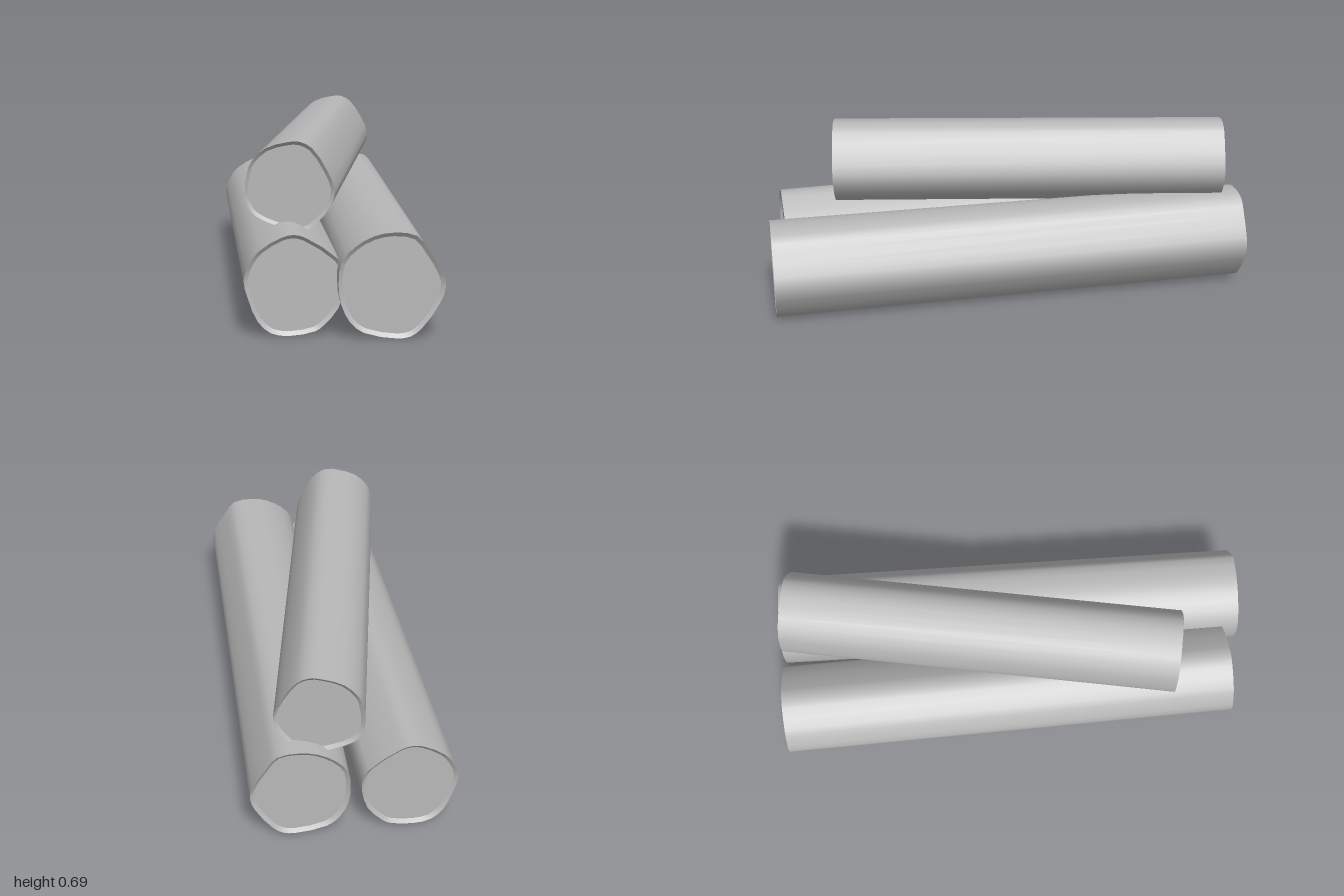
import * as THREE from 'three';

const wood = new THREE.MeshStandardMaterial({ color: 0xb8b8b8 });
wood.name = 'grey wood';

// Smooth closed band between two rings of equal length
function band(name, a, b) {
  const n = a.length;
  const index = [];
  for (let i = 0; i < n; i++) {
    const j = (i + 1) % n;
    index.push(i, j, n + i, n + i, j, n + j);
  }
  const geo = new THREE.BufferGeometry().setFromPoints([...a, ...b]);
  geo.setIndex(index);
  geo.computeVertexNormals();
  const mesh = new THREE.Mesh(geo, wood);
  mesh.name = name;
  return mesh;
}

// A log: rounded outline (clockwise from the front) swept from the front centre to the back centre,
// with slightly recessed end faces. slope tilts the ends square to the log's axis.
function log({ name, outline, front, back, slope, taper }) {
  const [fx, fy, fz] = front;
  const curve = new THREE.CatmullRomCurve3(
    outline.map(([x, y]) => new THREE.Vector3(x - fx, y - fy, 0)), true);
  const section = curve.getPoints(outline.length * 2).slice(0, -1);
  const ring = ([cx, cy, cz], scale, dz) => section.map(p => new THREE.Vector3(
    cx + p.x * scale, cy + p.y * scale, cz + p.x * scale * slope + dz));

  const inset = 0.92, recess = 0.012;
  const rings = [
    ring([fx, fy, fz], 0, -recess),
    ring([fx, fy, fz], inset, -recess),
    ring([fx, fy, fz], 1, 0),
    ring(back, taper, 0),
    ring(back, taper * inset, recess),
    ring(back, 0, recess),
  ];
  const parts = ['frontEnd', 'frontRim', 'bark', 'backRim', 'backEnd'];
  const group = new THREE.Group();
  group.name = name;
  parts.forEach((part, i) => group.add(band(part, rings[i], rings[i + 1])));
  return group;
}

const logs = [
  {
    name: 'lowerRightLog',
    outline: [[-0.40, 0.217], [-0.375, 0.284], [-0.34, 0.327], [-0.26, 0.374], [-0.216, 0.383],
      [-0.173, 0.372], [-0.05, 0.288], [-0.028, 0.245], [-0.026, 0.19], [-0.05, 0.103],
      [-0.104, 0.039], [-0.136, 0.017], [-0.23, 0.002], [-0.30, 0.013], [-0.35, 0.06], [-0.384, 0.146]],
    front: [-0.21, 0.195, 0.915], back: [-0.21, 0.195, -1], slope: 0, taper: 1,
  },
  {
    name: 'lowerLeftLog',
    outline: [[-0.057, 0.206], [-0.048, 0.288], [0, 0.346], [0.072, 0.387], [0.147, 0.40],
      [0.229, 0.387], [0.274, 0.331], [0.326, 0.245], [0.337, 0.196], [0.317, 0.135],
      [0.25, 0.039], [0.21, 0.009], [0.16, 0.002], [0.035, 0.026], [-0.014, 0.065], [-0.048, 0.135]],
    front: [0.14, 0.2, 0.99], back: [0.209, 0.202, -0.993], slope: 0.036, taper: 0.97,
  },
  {
    name: 'upperLog',
    outline: [[-0.38, 0.486], [-0.371, 0.572], [-0.354, 0.615], [-0.302, 0.665], [-0.223, 0.69],
      [-0.173, 0.693], [-0.126, 0.669], [-0.072, 0.589], [-0.04, 0.508], [-0.057, 0.447],
      [-0.104, 0.385], [-0.143, 0.353], [-0.19, 0.349], [-0.272, 0.372], [-0.34, 0.404], [-0.37, 0.443]],
    front: [-0.21, 0.52, 0.674], back: [0.13, 0.518, -0.941], slope: 0.2, taper: 0.985,
  },
];

export function createModel() {
  const model = new THREE.Group();
  model.name = 'logPile';
  logs.forEach(spec => model.add(log(spec)));
  return model;
}
